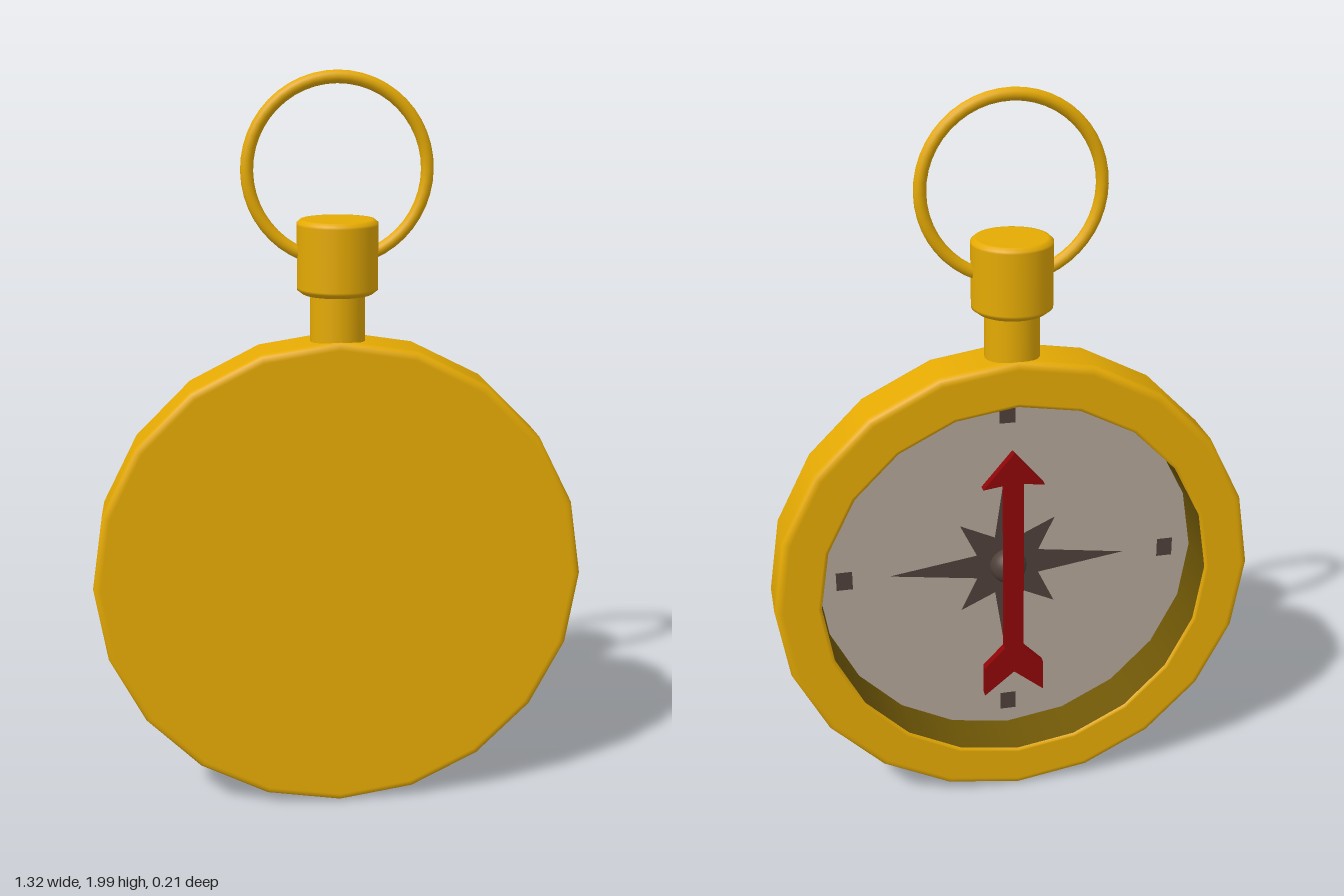
import * as THREE from 'three';

const mat = (name, color) => {
  const m = new THREE.MeshStandardMaterial({ color });
  m.name = name;
  return m;
};

export function createModel() {
  const gold = mat('gold', 0xe5aa03);
  const darkGold = mat('dark gold', 0x6f5706);
  const dialGrey = mat('dial grey', 0xb2a496);
  const darkBrown = mat('dark brown', 0x4e4039);
  const red = mat('needle red', 0x8e0508);

  const model = new THREE.Group();
  model.name = 'pocketCompass';
  const add = (parent, name, geometry, material, x = 0, y = 0, z = 0) => {
    const mesh = new THREE.Mesh(geometry, material);
    mesh.name = name;
    mesh.position.set(x, y, z);
    parent.add(mesh);
    return mesh;
  };
  const lathe = (points, segments) =>
    new THREE.LatheGeometry(points.map(([r, y]) => new THREE.Vector2(r, y)), segments);

  const centreY = 0.666;

  // Case: closed on +z, open on -z, with rounded rims
  const R = 0.66, H = 0.081, B = 0.018, inner = 0.535;
  const profile = [[0, -H], [R - B - 0.004, -H]];
  const corner = (cx, cy, start) => {
    for (let i = 0; i <= 4; i++) {
      const a = start + (i / 4) * Math.PI / 2;
      profile.push([cx + B * Math.cos(a), cy + B * Math.sin(a)]);
    }
  };
  corner(R - B, -H + B, -Math.PI / 2);
  profile.push([R, -H + B + 0.004], [R, H - B - 0.004]);
  corner(R - B, H - B, 0);
  profile.push([R - B - 0.004, H], [inner + 0.01, H], [inner + 0.005, H], [inner, H - 0.005]);
  add(model, 'case', lathe(profile, 20).rotateX(-Math.PI / 2), gold, 0, centreY, 0);

  // Dark inner wall between rim and dial
  const wall = lathe([[inner, H - 0.005], [inner, -0.065]], 20).rotateX(-Math.PI / 2);
  add(model, 'innerWall', wall, darkGold, 0, centreY, 0);

  // Neck and winding knob
  add(model, 'neck', new THREE.CylinderGeometry(0.072, 0.072, 0.17, 32), gold, 0, 1.375, 0);
  add(model, 'knob', lathe([
    [0, 1.44], [0.086, 1.44], [0.092, 1.44], [0.105, 1.45], [0.105, 1.456],
    [0.105, 1.616], [0.105, 1.622], [0.096, 1.63], [0.09, 1.63], [0, 1.63],
  ], 32), gold);

  // Hanging ring
  add(model, 'ring', new THREE.TorusGeometry(0.23, 0.0165, 12, 48), gold, 0, 1.7535, 0);

  // Dial assembly, facing -z
  const dial = new THREE.Group();
  dial.name = 'dialAssembly';
  dial.position.set(0, centreY, 0.06);
  dial.rotation.y = Math.PI;
  model.add(dial);
  add(dial, 'dialPlate', new THREE.CircleGeometry(0.545, 40), dialGrey);

  // Eight-pointed rose
  const star = new THREE.Shape();
  for (let i = 0; i < 16; i++) {
    const r = i % 2 ? 0.095 : i % 4 ? 0.19 : 0.335;
    const a = (i / 16) * Math.PI * 2;
    star[i ? 'lineTo' : 'moveTo'](r * Math.cos(a), r * Math.sin(a));
  }
  star.closePath();
  add(dial, 'compassRose', new THREE.ShapeGeometry(star), darkBrown, 0, 0, 0.003);

  // Plain quarter marks near the rim
  for (let i = 0; i < 4; i++) {
    const a = (i * Math.PI) / 2;
    add(dial, 'quarterMark', new THREE.PlaneGeometry(0.045, 0.055), darkBrown,
      0.46 * Math.cos(a), 0.46 * Math.sin(a), 0.003);
  }

  // Hub dome and pivot pin, both above the dial only
  const dome = new THREE.SphereGeometry(0.052, 24, 10, 0, Math.PI * 2, 0, Math.PI / 2);
  add(dial, 'hub', dome.rotateX(Math.PI / 2), darkBrown, 0, 0, 0.008);
  const pin = add(dial, 'pivotPin', new THREE.CylinderGeometry(0.018, 0.018, 0.065, 16),
    darkBrown, 0, 0, 0.035);
  pin.rotation.x = Math.PI / 2;

  // Arrow needle: right half outline, mirrored
  const half = [[0, 0.38], [0.085, 0.28], [0.027, 0.288], [0.027, -0.225],
    [0.085, -0.285], [0.085, -0.375], [0, -0.305]];
  const outline = [...half, ...half.slice(1, -1).reverse().map(([x, y]) => [-x, y])];
  const needle = new THREE.Shape(outline.map(([x, y]) => new THREE.Vector2(x, y)));
  add(dial, 'needle', new THREE.ExtrudeGeometry(needle, { depth: 0.024, bevelEnabled: false }),
    red, 0, 0, 0.064);

  return model;
}
